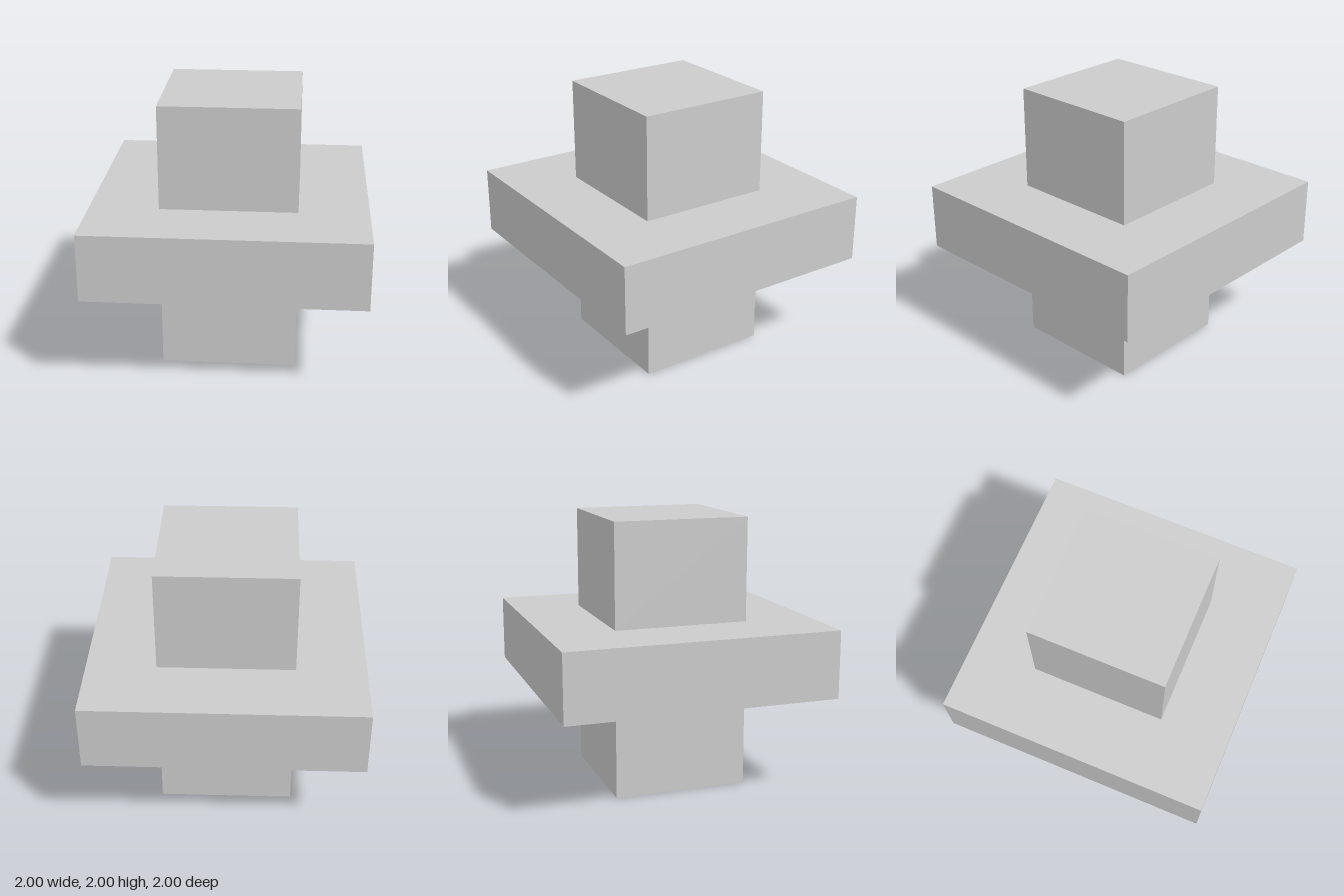
import * as THREE from 'three';

export function createModel() {
  const group = new THREE.Group();
  const material = new THREE.MeshStandardMaterial({ color: 0xcccccc, flatShading: true });

  // Square block of a given width, from one height to another
  const addBlock = (name, width, bottom, top) => {
    const mesh = new THREE.Mesh(new THREE.BoxGeometry(width, top - bottom, width), material);
    mesh.name = name;
    mesh.position.y = (bottom + top) / 2;
    group.add(mesh);
  };

  const slabBottom = 0.744, slabTop = 1.24, columnWidth = 0.992;
  addBlock('lowerColumn', columnWidth, 0, slabBottom);
  addBlock('slab', 2, slabBottom, slabTop);
  addBlock('upperColumn', columnWidth, slabTop, 2);

  return group;
}
